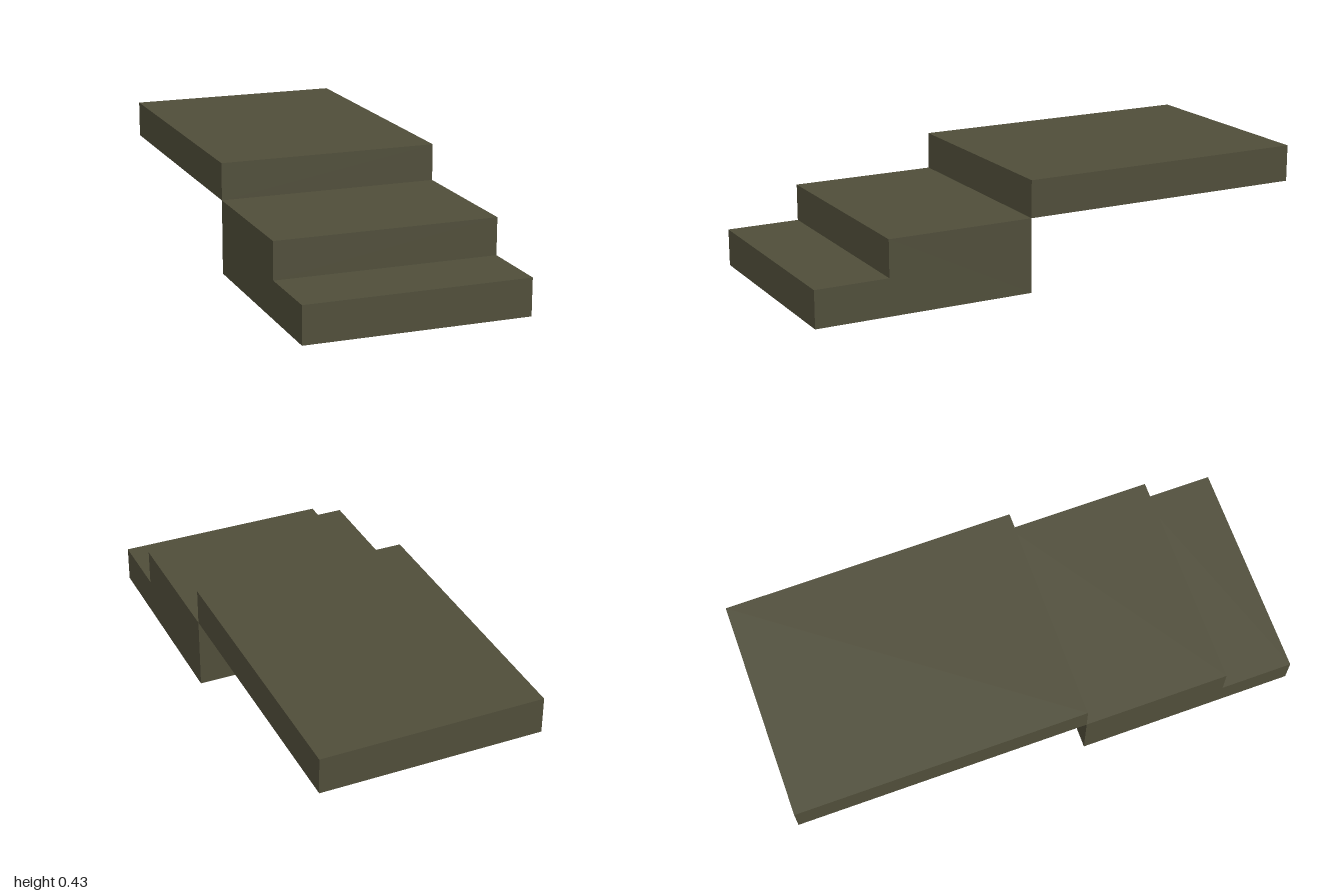
import * as THREE from 'three';

const U = 1 / 7; // grid unit: the model is 14 units long
const WIDTH = 6 * U;

export function createModel() {
  const group = new THREE.Group();
  const olive = new THREE.MeshStandardMaterial({ color: 0x504e3a });
  olive.name = 'dark olive';

  // Side profile in (z, y) units, extruded across the width
  const addProfile = (name, points) => {
    const shape = new THREE.Shape(points.map(([z, y]) => new THREE.Vector2(-z * U, y * U)));
    const geometry = new THREE.ExtrudeGeometry(shape, { depth: WIDTH, bevelEnabled: false });
    geometry.translate(0, 0, -WIDTH / 2);
    geometry.rotateY(Math.PI / 2); // profile axis -z becomes world z
    const mesh = new THREE.Mesh(geometry, olive);
    mesh.name = name;
    group.add(mesh);
  };

  // Two solid steps at the front
  addProfile('lowerSteps', [[7, 0], [7, 1], [5, 1], [5, 2], [1, 2], [1, 0]]);

  // Raised slab at the back, meeting the steps along one edge
  addProfile('upperSlab', [[1, 2], [1, 3], [-7, 3], [-7, 2]]);

  return group;
}
